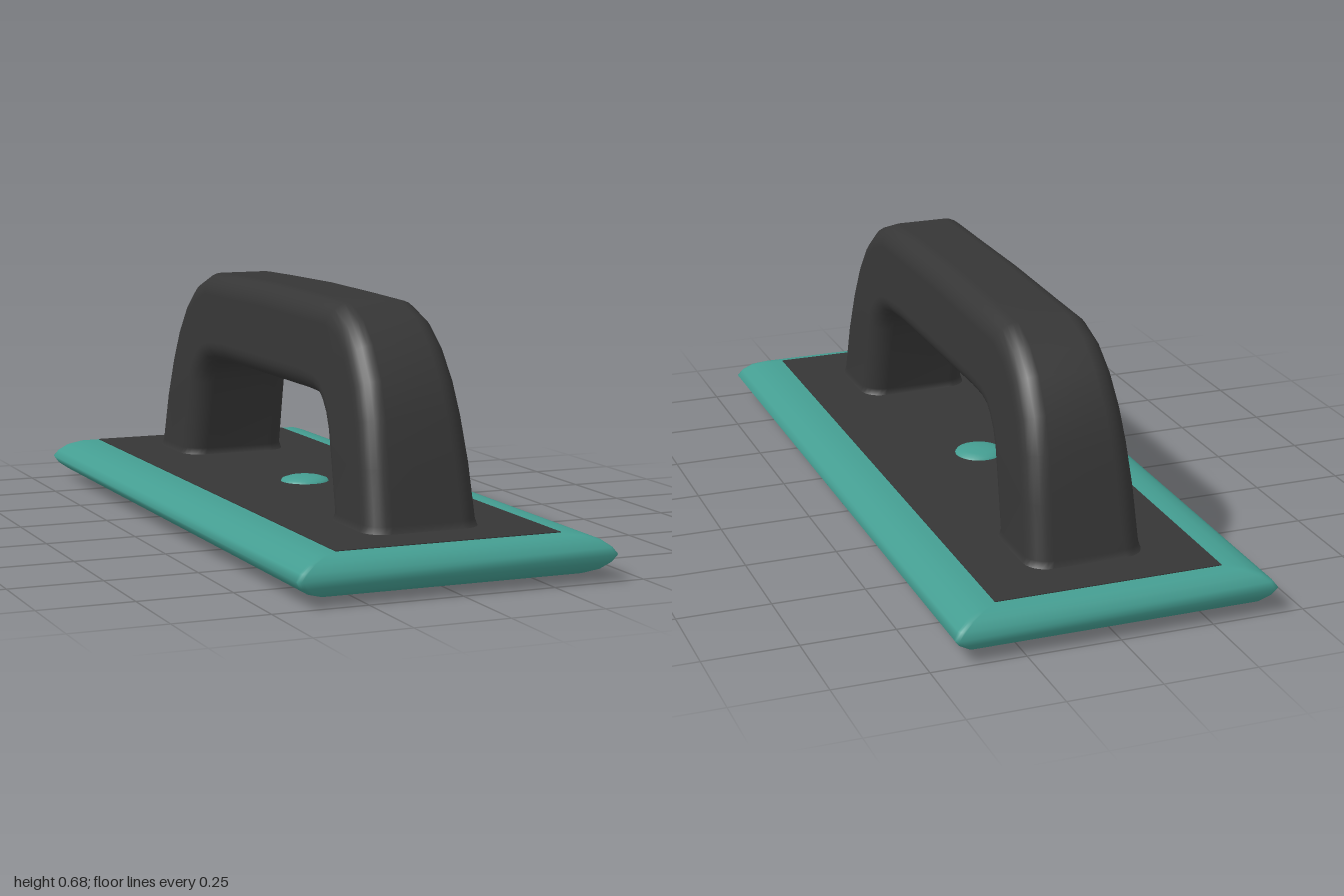
import * as THREE from 'three';

const teal = new THREE.MeshStandardMaterial({ color: 0x449d91 });
teal.name = 'teal';
const charcoal = new THREE.MeshStandardMaterial({ color: 0x363636 });
charcoal.name = 'charcoal';

// Rounded rectangle outline as [a, b] pairs, counter-clockwise
function roundedLoop(ha, hb, r, steps = 6) {
  const points = [];
  [[1, 1], [-1, 1], [-1, -1], [1, -1]].forEach(([sa, sb], quarter) => {
    for (let i = 0; i <= steps; i++) {
      const t = (quarter + i / steps) * Math.PI / 2;
      points.push([sa * (ha - r) + r * Math.cos(t), sb * (hb - r) + r * Math.sin(t)]);
    }
  });
  return points;
}

// Smooth skin over a list of closed rings of [x, y, z]
function loft(rings) {
  const n = rings[0].length;
  const index = [];
  for (let i = 0; i < rings.length - 1; i++) {
    for (let j = 0; j < n; j++) {
      const a = i * n + j, b = i * n + (j + 1) % n;
      index.push(a, a + n, b, b, a + n, b + n);
    }
  }
  const geometry = new THREE.BufferGeometry();
  geometry.setAttribute('position', new THREE.Float32BufferAttribute(rings.flat(2), 3));
  geometry.setIndex(index);
  geometry.computeVertexNormals();
  return geometry;
}

function add(parent, name, geometry, material, x = 0, y = 0, z = 0) {
  const mesh = new THREE.Mesh(geometry, material);
  mesh.name = name;
  mesh.position.set(x, y, z);
  parent.add(mesh);
  return mesh;
}

// Slab whose bevelled rim bulges to a pointed edge
function basePlate() {
  const rim = [
    [0, 0, 0.015], [0.32, 0.93, 0.015], [0.36, 0.955, 0.019], [0.395, 0.978, 0.031],
    [0.42, 0.992, 0.049], [0.433, 1, 0.068], [0.42, 0.992, 0.086],
    [0.395, 0.978, 0.104], [0.36, 0.955, 0.116], [0.32, 0.93, 0.12], [0, 0, 0.12],
  ];
  return loft(rim.map(([hx, hz, y]) =>
    roundedLoop(hx, hz, Math.min(hx, 0.015), 4).map(([x, z]) => [x, y, z])));
}

// Bridge handle: stations of outer z, outer y, inner z, inner y, half width
function handleGeometry() {
  const half = [
    [0.815, 0.112, 0.505, 0.112, 0.175],
    [0.8, 0.122, 0.522, 0.122, 0.16],
    [0.794, 0.14, 0.526, 0.14, 0.155],
    [0.762, 0.28, 0.493, 0.27, 0.151],
    [0.728, 0.4, 0.475, 0.34, 0.147],
    [0.69, 0.49, 0.458, 0.376, 0.144],
    [0.63, 0.575, 0.435, 0.399, 0.141],
    [0.56, 0.633, 0.41, 0.412, 0.138],
    [0.47, 0.667, 0.37, 0.418, 0.135],
    [0.3, 0.671, 0.28, 0.42, 0.133],
  ];
  const back = half.slice().reverse().map(([oz, oy, iz, iy, w]) => [-oz, oy, -iz, iy, w]);
  const stations = [...half, [0, 0.675, 0, 0.42, 0.133], ...back];
  return loft(stations.map(([oz, oy, iz, iy, w]) => {
    const depth = Math.hypot(oz - iz, oy - iy) / 2;
    const taper = 0.07 * THREE.MathUtils.smoothstep(oy, 0.2, 0.6);
    return roundedLoop(w, depth, 0.06).map(([x, u]) => {
      const s = u / depth;
      return [x * (1 - taper * s), (oy + iy + s * (oy - iy)) / 2, (oz + iz + s * (oz - iz)) / 2];
    });
  }));
}

export function createModel() {
  const model = new THREE.Group();
  model.name = 'handFloat';

  add(model, 'basePlate', basePlate(), teal);
  add(model, 'topPanel', new THREE.BoxGeometry(0.61, 0.006, 1.85), charcoal, 0, 0.119, 0);
  add(model, 'handle', handleGeometry(), charcoal);

  // Low domed button in the middle of the panel
  const dome = [[0.068, 0], [0.063, 0.008], [0.045, 0.014], [0.022, 0.017], [0, 0.018]];
  add(model, 'centreButton',
    new THREE.LatheGeometry(dome.map(p => new THREE.Vector2(...p)), 32), teal, 0, 0.12, 0);

  // Five shallow pads underneath
  const pad = [[0, 0], [0.035, 0.001], [0.048, 0.004], [0.053, 0.01], [0.053, 0.02]];
  const padGeometry = new THREE.LatheGeometry(pad.map(p => new THREE.Vector2(...p)), 32);
  [[0, 0], [-0.245, 0.82], [0.245, 0.82], [-0.245, -0.82], [0.245, -0.82]].forEach(([x, z]) =>
    add(model, 'footPad', padGeometry, teal, x, 0, z));

  return model;
}
